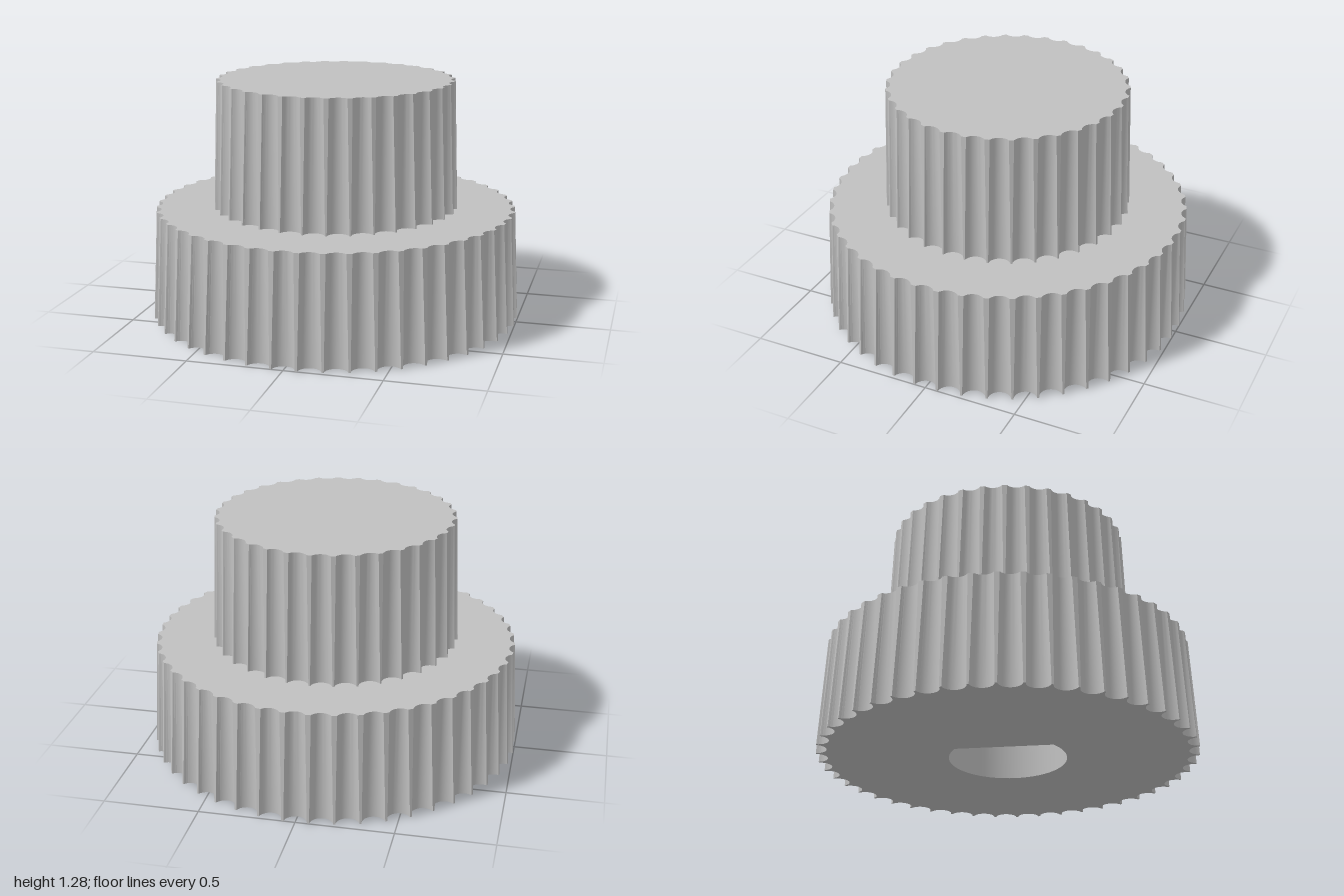
import * as THREE from 'three';
import { toCreasedNormals } from 'three/addons/utils/BufferGeometryUtils.js';

const ARC_STEPS = 14;

// Circle of the given radius with round flutes cut into its rim (counter-clockwise)
function flutedOutline(radius, flutes, cutCentre, cutRadius) {
  const pts = [];
  // Where the cutting circle meets the rim, seen from the cut's own centre
  const along = (radius ** 2 + cutCentre ** 2 - cutRadius ** 2) / (2 * cutCentre);
  const half = Math.sqrt(radius ** 2 - along ** 2);
  const reach = Math.atan2(half, cutCentre - along);
  for (let i = 0; i < flutes; i++) {
    const turn = (i / flutes) * Math.PI * 2;
    for (let j = 0; j <= ARC_STEPS; j++) {
      const a = reach * ((2 * j) / ARC_STEPS - 1);
      const p = new THREE.Vector2(cutCentre - cutRadius * Math.cos(a), cutRadius * Math.sin(a));
      pts.push(p.rotateAround(new THREE.Vector2(), turn));
    }
  }
  return pts;
}

// D-shaped outline with its flat on the -x side
function dOutline(radius, flat) {
  const end = Math.PI - Math.acos(flat / radius);
  const pts = [];
  for (let i = 0; i <= 48; i++) {
    const a = end * (i / 24 - 1);
    pts.push(new THREE.Vector2(radius * Math.cos(a), radius * Math.sin(a)));
  }
  return pts;
}

// Wall between two matching outlines
function wall(low, high, y0, y1, inward = false) {
  const pos = [];
  const n = low.length;
  for (let i = 0; i < n; i++) {
    const k = (i + 1) % n;
    const a = [low[i].x, y0, low[i].y], b = [low[k].x, y0, low[k].y];
    const c = [high[i].x, y1, high[i].y], d = [high[k].x, y1, high[k].y];
    if (inward) pos.push(...a, ...b, ...c, ...b, ...d, ...c);
    else pos.push(...a, ...c, ...b, ...b, ...c, ...d);
  }
  const geo = new THREE.BufferGeometry();
  geo.setAttribute('position', new THREE.Float32BufferAttribute(pos, 3));
  return toCreasedNormals(geo, 0.5);
}

// Flat face at height y, facing up or down
function cap(outline, y, up, hole) {
  const shape = new THREE.Shape(outline);
  if (hole) shape.holes.push(new THREE.Path(hole));
  return new THREE.ShapeGeometry(shape).rotateX(up ? -Math.PI / 2 : Math.PI / 2).translate(0, y, 0);
}

export function createModel() {
  const group = new THREE.Group();
  const grey = new THREE.MeshStandardMaterial({ color: 0xc0c0c0 });
  grey.name = 'grey';
  const add = (name, geo) => {
    const mesh = new THREE.Mesh(geo, grey);
    mesh.name = name;
    group.add(mesh);
  };

  const stepY = 0.59, topY = 1.28, boreY = 0.9;
  const bore = dOutline(0.31, 0.175);

  // Wide fluted base, slightly tapered
  const baseLow = flutedOutline(1.0, 48, 1.003, 0.06);
  const baseHigh = flutedOutline(0.97, 48, 1.003, 0.06);
  add('baseRim', wall(baseLow, baseHigh, 0, stepY));
  add('baseUnderside', cap(baseLow, 0, false, bore));
  add('baseStep', cap(baseHigh, stepY, true, bore));

  // Narrow fluted grip
  const gripLow = flutedOutline(0.66, 34, 0.67, 0.058);
  const gripHigh = flutedOutline(0.637, 34, 0.67, 0.058);
  add('gripRim', wall(gripLow, gripHigh, stepY, topY));
  add('gripTop', cap(gripHigh, topY, true));

  // Blind D-shaped shaft hole from below
  add('shaftHoleWall', wall(bore, bore, 0, boreY, true));
  add('shaftHoleEnd', cap(bore, boreY, false));

  return group;
}
